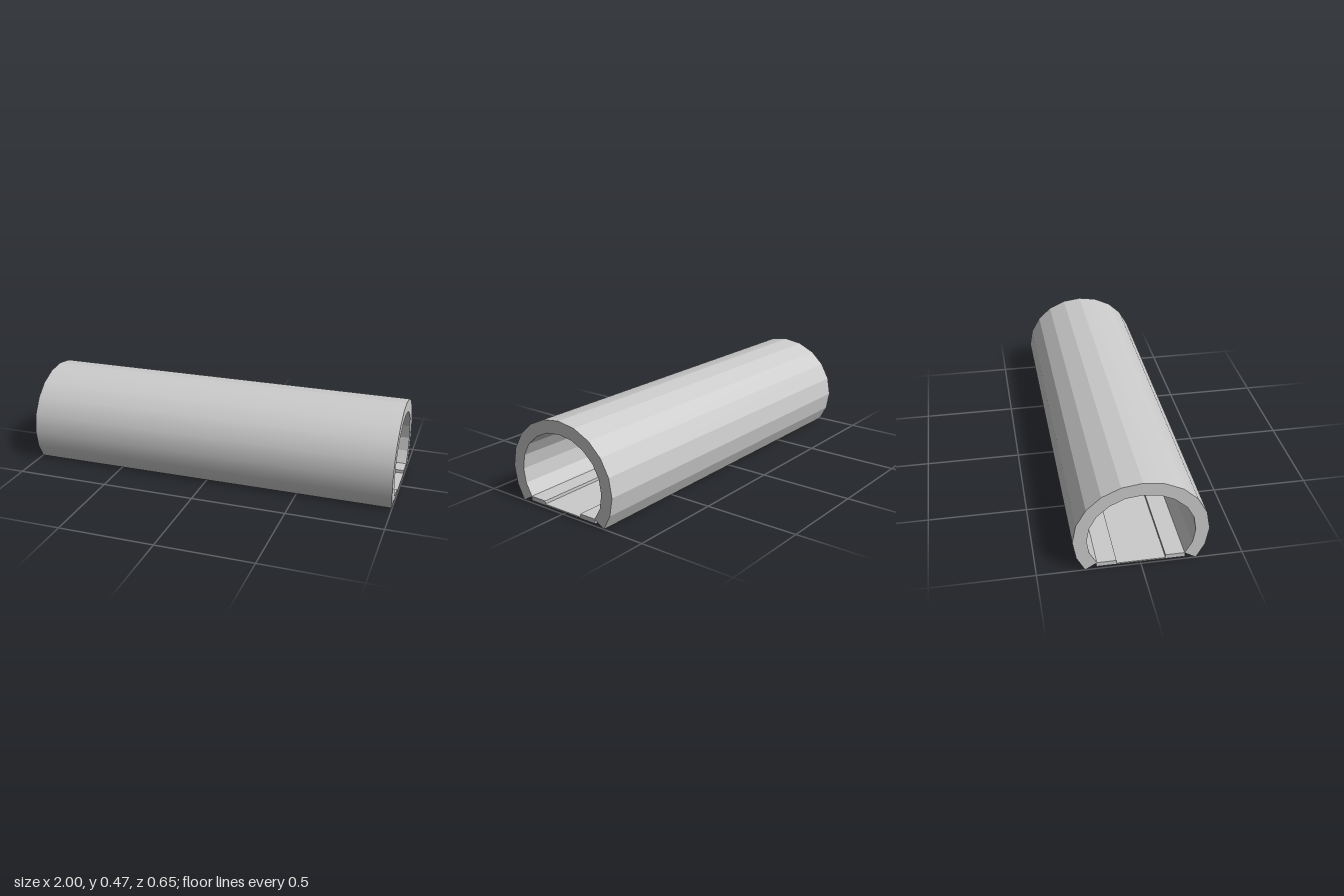
import * as THREE from 'three';

const LENGTH = 2;
const CENTER_Y = 0.172;

// Half profiles as [z, y], mirrored across z = 0
const OUTER = [[0.269, 0], [0.31, 0.0775], [0.327, 0.172], [0.31, 0.268], [0.262, 0.353], [0.191, 0.418], [0.1, 0.46], [0, 0.474]];
const INNER = [[0.212, 0.035], [0.248, 0.099], [0.26, 0.172], [0.248, 0.246], [0.212, 0.311], [0.153, 0.363], [0.08, 0.397], [0, 0.407]];
const FLOOR = [[0.215, 0.0125], [0.215, 0.036], [0.119, 0.036], [0.119, 0.0195]];

const mirror = (half) => half.filter(([z]) => z > 0).reverse().map(([z, y]) => [-z, y]);

// Extrudes a closed z/y outline along x
function extrudeAlongX(points) {
  const shape = new THREE.Shape(points.map(([z, y]) => new THREE.Vector2(z, y)));
  const geometry = new THREE.ExtrudeGeometry(shape, { depth: LENGTH, bevelEnabled: false });
  return geometry.translate(0, 0, -LENGTH / 2).rotateY(-Math.PI / 2);
}

// Rounds the shading of the outer front side; every other face stays flat
function smoothFront(geometry) {
  const { position, normal } = geometry.attributes;
  const n = new THREE.Vector3();
  const radial = new THREE.Vector3();
  for (let i = 0; i < position.count; i++) {
    const z = position.getZ(i);
    n.fromBufferAttribute(normal, i);
    radial.set(0, (position.getY(i) - CENTER_Y) / 0.302 ** 2, z / 0.327 ** 2).normalize();
    if (z > 0.095 && n.dot(radial) > 0.9) normal.setXYZ(i, radial.x, radial.y, radial.z);
  }
  return geometry;
}

export function createModel() {
  const model = new THREE.Group();
  const material = new THREE.MeshStandardMaterial({ color: 0xcccccc });
  const add = (name, geometry) => {
    const mesh = new THREE.Mesh(geometry, material);
    mesh.name = name;
    model.add(mesh);
  };

  // Open-bottomed tunnel shell: out over the arch, back along the inside
  const arch = [...OUTER, ...mirror(OUTER)];
  const hollow = [...INNER, ...mirror(INNER)].reverse();
  add('tunnelShell', smoothFront(extrudeAlongX([...arch, ...hollow])));

  // Thin floor with a raised ledge along each side
  add('floor', extrudeAlongX([...FLOOR, ...mirror(FLOOR)]));

  return model;
}
